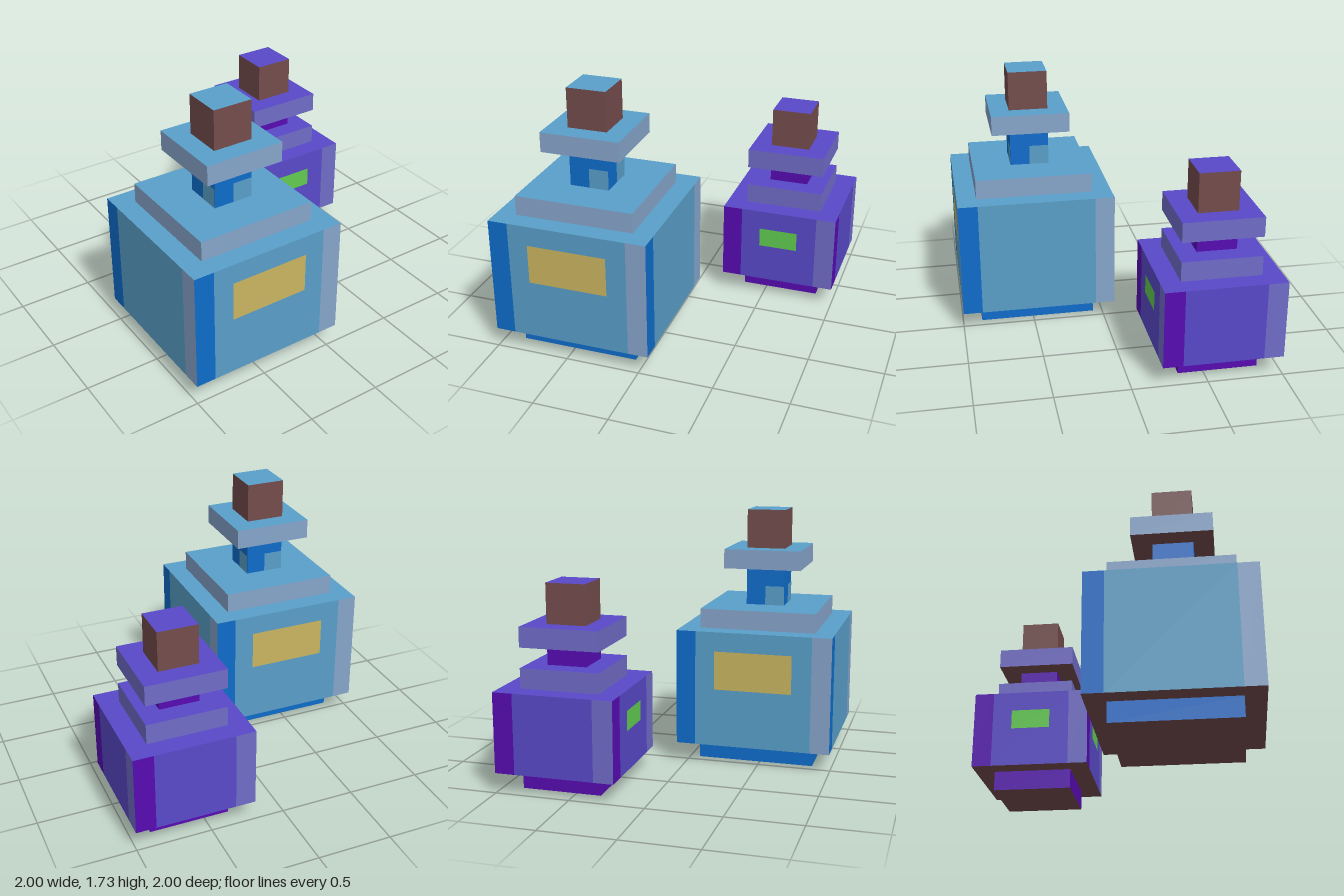
import * as THREE from 'three';

const U = 1 / 15; // one grid unit of the block style

function makeMaterial(name, color) {
  const m = new THREE.MeshStandardMaterial({ color });
  m.name = name;
  return m;
}

function addMesh(parent, name, geometry, material) {
  const mesh = new THREE.Mesh(geometry, material);
  mesh.name = name;
  parent.add(mesh);
  return mesh;
}

// Square block with separate side, top and bottom colours (sizes in units)
function addBlock(parent, name, width, y0, y1, side, top, bottom) {
  const g = new THREE.BoxGeometry(width * U, (y1 - y0) * U, width * U);
  addMesh(parent, name, g, [side, side, top, bottom, side, side]).position.y = (y0 + y1) / 2 * U;
}

// Rectangle on one side of a block: side 0 front, 1 +x, 2 back, 3 -x
function addPanel(parent, name, side, x0, x1, y0, y1, depth, material) {
  const g = new THREE.PlaneGeometry((x1 - x0) * U, (y1 - y0) * U);
  g.translate((x0 + x1) / 2 * U, (y0 + y1) / 2 * U, depth);
  g.rotateY(side * Math.PI / 2);
  addMesh(parent, name, g, material);
}

function createBottle(name, o) {
  const bottle = new THREE.Group();
  bottle.name = name;
  const { dark, mid, pale, cork } = o;
  const [y1, y2, y3, y4, y5] = o.levels;
  const lift = 0.002;

  addBlock(bottle, 'base', o.width - 4, 0, 2, dark, mid, cork);

  // Body: each side has a dark left strip, a middle and a pale right strip
  const body = new THREE.Group();
  body.name = 'body';
  bottle.add(body);
  const h = o.width / 2;
  for (let s = 0; s < 4; s++) {
    addPanel(body, 'darkEdge', s, -h, 2 - h, 2, y1, h * U, dark);
    addPanel(body, 'glassFace', s, 2 - h, h - 2, 2, y1, h * U, mid);
    addPanel(body, 'paleEdge', s, h - 2, h, 2, y1, h * U, pale);
  }
  const cap = () => new THREE.PlaneGeometry(o.width * U, o.width * U);
  addMesh(body, 'bodyTop', cap().rotateX(-Math.PI / 2), mid).position.y = y1 * U;
  addMesh(body, 'bodyBottom', cap().rotateX(Math.PI / 2), cork).position.y = 2 * U;

  addBlock(bottle, 'shoulder', o.width - 4, y1, y2, pale, mid, cork);
  addBlock(bottle, 'neck', 4, y2, y3, dark, mid, cork);
  addBlock(bottle, 'collar', 8, y3, y4, pale, mid, cork);
  addBlock(bottle, 'stopper', 4, y4, y5, cork, mid, cork);

  // Highlight in the lower right of each neck side
  if (o.neckHighlight) {
    for (let s = 0; s < 4; s++) addPanel(bottle, 'neckHighlight', s, 0, 2, y2, y2 + 2, 2 * U + lift, mid);
  }

  // Labels
  const [lw, l0, l1] = o.label;
  for (const s of o.labelSides) addPanel(bottle, 'label', s, -lw / 2, lw / 2, l0, l1, h * U + lift, o.labelColor);

  bottle.position.set(o.x * U, 0, o.z * U);
  return bottle;
}

export function createModel() {
  const model = new THREE.Group();
  model.name = 'bottles';
  const cork = makeMaterial('cork', 0x744c4c);

  model.add(createBottle('largeBottle', {
    x: -7, z: 7, width: 16, levels: [14, 16, 20, 22, 26], cork,
    dark: makeMaterial('deepBlue', 0x0e6ccb),
    mid: makeMaterial('skyBlue', 0x599fc9),
    pale: makeMaterial('greyBlue', 0x86a5cb),
    labelColor: makeMaterial('mustard', 0xcab560),
    label: [8, 8, 12], labelSides: [0, 2], neckHighlight: true,
  }));

  model.add(createBottle('smallBottle', {
    x: 9, z: -9, width: 12, levels: [10, 12, 14, 16, 20], cork,
    dark: makeMaterial('violet', 0x570bb2),
    mid: makeMaterial('indigo', 0x5949c9),
    pale: makeMaterial('lavender', 0x706cc8),
    labelColor: makeMaterial('green', 0x62cc50),
    label: [4, 6, 8], labelSides: [0, 3], neckHighlight: false,
  }));

  return model;
}
